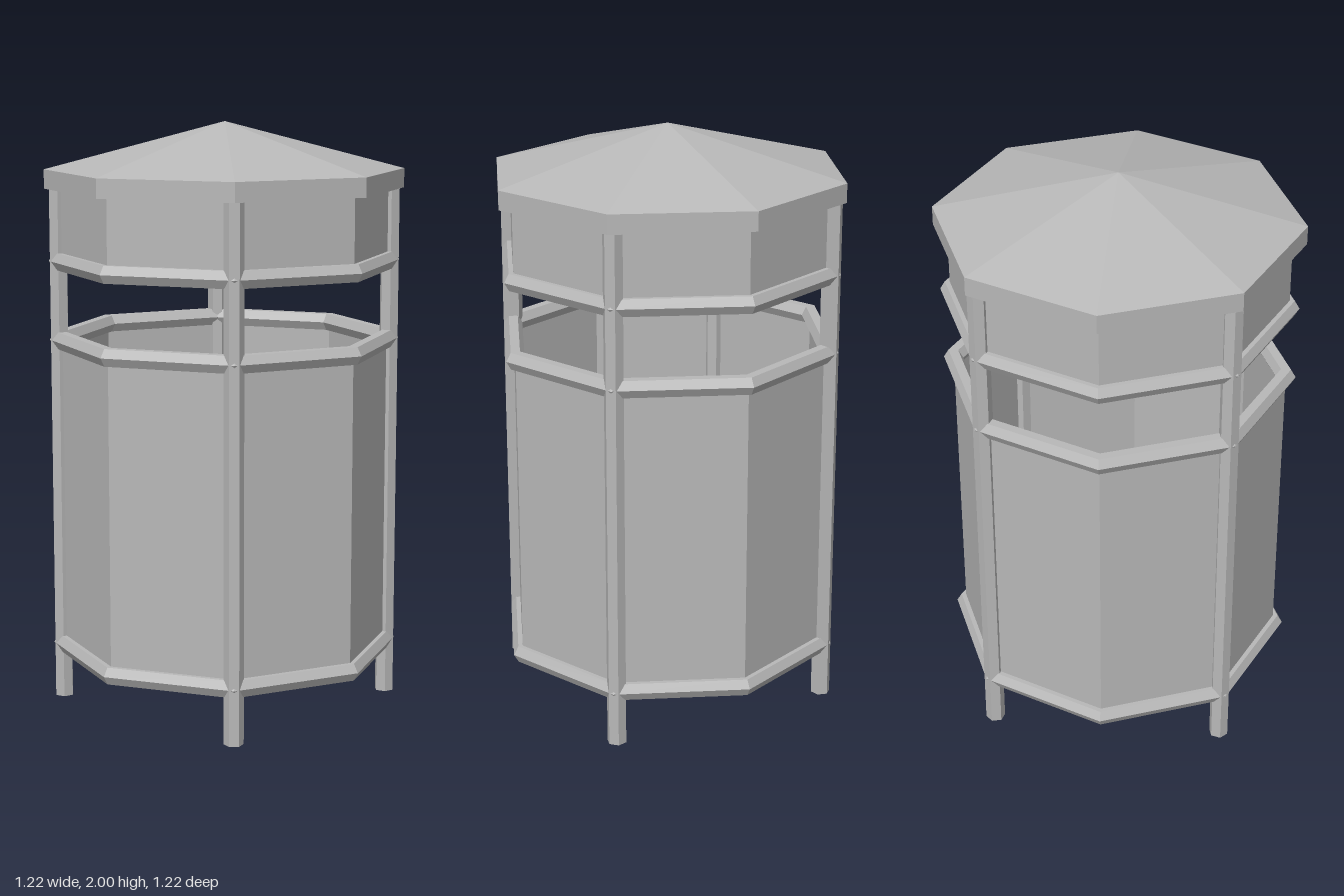
import * as THREE from 'three';

const SIDES = 8;
const R = 0.565;      // wall radius
const TUBE = 0.0335;  // radius of hexagonal rails and posts

export function createModel() {
  const model = new THREE.Group();
  model.name = 'octagonalBin';

  const grey = new THREE.MeshStandardMaterial({ color: 0xb8b8b8, flatShading: true, side: THREE.DoubleSide });
  grey.name = 'grey';

  const add = (name, geometry, x = 0, y = 0, z = 0) => {
    const mesh = new THREE.Mesh(geometry, grey);
    mesh.name = name;
    mesh.position.set(x, y, z);
    model.add(mesh);
    return mesh;
  };

  // Open octagonal wall between two heights
  const wall = (name, y0, y1) =>
    add(name, new THREE.CylinderGeometry(R, R, y1 - y0, SIDES, 1, true), 0, (y0 + y1) / 2, 0);

  // Lower container with a floor, and the band under the roof
  wall('binWall', 0.19, 1.26);
  wall('upperBand', 1.53, 1.775);
  add('binFloor', new THREE.CircleGeometry(R, SIDES).rotateX(-Math.PI / 2), 0, 0.19, 0);

  // Hexagonal rails round the wall edges
  const rails = { bottomRail: 0.19, openingLowerRail: 1.26, openingUpperRail: 1.53 };
  for (const [name, y] of Object.entries(rails)) {
    add(name, new THREE.TorusGeometry(R, TUBE, 6, SIDES).rotateX(Math.PI / 2), 0, y, 0);
  }

  // Four hexagonal posts on the diagonal corners, flat side outwards
  const names = ['frontLeftPost', 'backLeftPost', 'backRightPost', 'frontRightPost'];
  names.forEach((name, i) => {
    const a = Math.PI / 4 + i * Math.PI / 2;
    const post = new THREE.CylinderGeometry(TUBE, TUBE, 1.775, 6, 1, false, a + Math.PI / 6);
    add(name, post, R * Math.sin(a), 1.775 / 2, R * Math.cos(a));
  });

  // Roof: underside, upright eave and shallow pyramid
  const profile = [[0, 1.775], [0.611, 1.775], [0.611, 1.84], [0, 2]].map(p => new THREE.Vector2(...p));
  add('roof', new THREE.LatheGeometry(profile, SIDES));

  return model;
}
